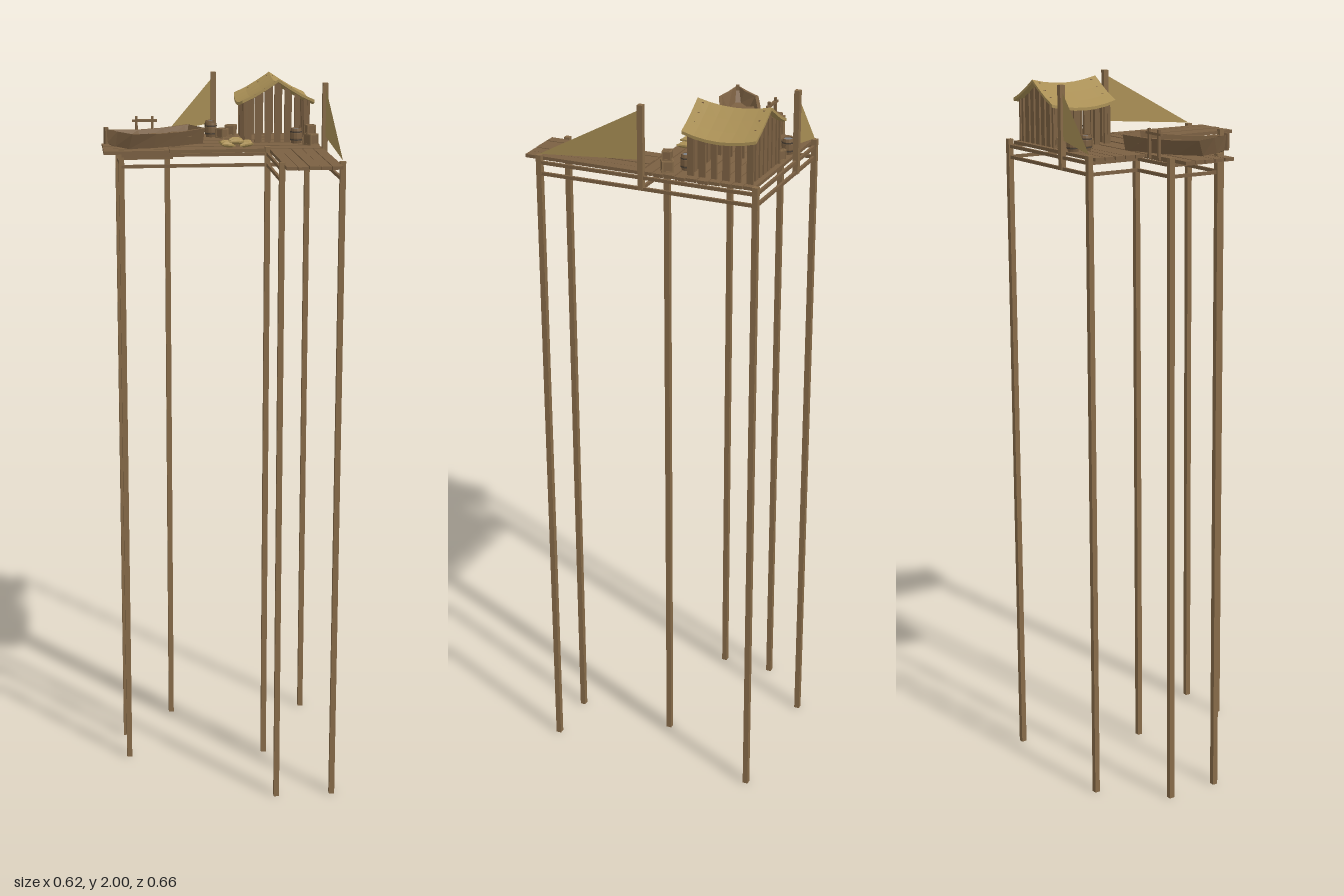
import * as THREE from 'three';

const mat = (color, side = THREE.FrontSide) => new THREE.MeshStandardMaterial({ color, flatShading: true, side });
const wood = mat(0x7b6042), timber = mat(0x866a48), dark = mat(0x4a3f33);
const straw = mat(0xa98f55), cloth = mat(0xa98f55, THREE.DoubleSide), grey = mat(0x7d8084);
const DECK = 1.823;

let seed = 7;
const rnd = (a, b) => {
  seed = (seed * 16807) % 2147483647;
  return a + (b - a) * (seed / 2147483647);
};

export function createModel() {
  const root = new THREE.Group();
  const group = (name, parent = root) => {
    const g = new THREE.Group();
    g.name = name;
    parent.add(g);
    return g;
  };
  const add = (parent, name, geo, material, x = 0, y = 0, z = 0, ry = 0) => {
    const m = new THREE.Mesh(geo, material);
    m.name = name;
    m.position.set(x, y, z);
    m.rotation.y = ry;
    parent.add(m);
    return m;
  };
  const box = (parent, name, w, h, d, x, y, z, ry = 0, material = wood) =>
    add(parent, name, new THREE.BoxGeometry(w, h, d), material, x, y, z, ry);

  // Long legs, and two short masts that only hang below the deck
  const posts = group('posts');
  const post = (name, x, z, y0, y1) => box(posts, name, 0.015, y1 - y0, 0.015, x, (y0 + y1) / 2, z, 0, timber);
  for (const [x, z] of [[-0.263, -0.17], [-0.263, -0.018], [-0.111, -0.325], [0.141, -0.008],
    [0.301, -0.325], [0.14, 0.285], [0.301, 0.285]]) post('leg', x, z, 0, 1.828);
  post('mast', 0.024, -0.325, 1.775, 2);
  post('mast', 0.3, -0.008, 1.775, 2);

  // Two levels of beams between the legs
  const beams = group('beams');
  const beam = (x0, z0, x1, z1) => {
    for (const y of [1.778, 1.808])
      box(beams, 'beam', Math.hypot(x1 - x0, z1 - z0), 0.009, 0.007,
        (x0 + x1) / 2, y, (z0 + z1) / 2, Math.atan2(z0 - z1, x1 - x0));
  };
  beam(-0.111, -0.325, 0.301, -0.325);
  beam(0.301, -0.325, 0.303, 0.285);
  beam(-0.263, -0.17, -0.111, -0.172);
  beam(-0.263, -0.17, -0.263, -0.018);
  beam(-0.263, -0.012, 0.141, -0.008);
  beam(0.141, -0.008, 0.301, -0.008);
  beam(0.141, -0.008, 0.14, 0.285);
  beam(-0.111, -0.325, -0.111, -0.17);

  // Planked decks with slightly uneven boards
  const deck = group('deck');
  const plank = (w, d, x, z) =>
    box(deck, 'plank', w, 0.009, d, x, DECK - 0.0055 + rnd(-0.001, 0.001), z, rnd(-0.004, 0.004));
  for (let i = 0; i < 10; i++) {
    const z = -0.302 + i * 0.0313;
    plank(0.425 + rnd(-0.004, 0.004), 0.0285, 0.083, z);
    if (i > 4) plank(0.18, 0.0285, -0.22 + rnd(-0.002, 0.002), z + 0.004);
  }
  for (let i = 0; i < 5; i++) plank(0.0285, 0.33 + rnd(-0.003, 0.003), 0.16 + i * 0.0303, 0.165);

  // Hut: slatted walls under a sagging straw roof
  const hut = group('hut');
  const RX = 0.185, RZ = -0.216;
  const roofY = (x, z) => {
    const t = Math.min(1, Math.abs(x - RX) / 0.105), s = Math.min(1, Math.abs(z - RZ) / 0.102);
    return 1.938 + 0.058 * Math.pow(1 - t, 1.2) - 0.014 * (1 - s * s);
  };
  const slat = (x, z, w, d) => {
    const h = roofY(x, z) - DECK;
    box(hut, 'wallSlat', w, h, d, x, DECK + h / 2, z, rnd(-0.05, 0.05));
  };
  for (let i = 0; i < 7; i++)
    for (const z of [-0.3, -0.132]) slat(0.102 + i * 0.0277, z, rnd(0.015, 0.02), 0.006);
  for (let i = 0; i < 6; i++)
    for (const x of [0.097, 0.273]) slat(x, -0.298 + i * 0.0328, 0.006, rnd(0.015, 0.02));
  const roofGeo = new THREE.BoxGeometry(0.21, 0.008, 0.203, 6, 1, 6);
  const rp = roofGeo.attributes.position;
  for (let i = 0; i < rp.count; i++) {
    const z = rp.getZ(i), s = Math.abs(z) / 0.1015;
    const x = rp.getX(i);
    rp.setXYZ(i, x * (1.02 - 0.05 * s * s), rp.getY(i) + roofY(x + RX, z + RZ), z);
  }
  add(hut, 'roof', roofGeo, straw, RX, 0, RZ);

  // Triangular cloths tied from each mast to the next leg
  const sail = (points) => {
    const g = new THREE.BufferGeometry().setFromPoints(points.map((p) => new THREE.Vector3(...p)));
    g.computeVertexNormals();
    add(root, 'sailCloth', g, cloth);
  };
  sail([[0.301, 1.988, -0.008], [0.301, 1.855, -0.008], [0.301, 1.83, 0.285]]);
  sail([[0.024, 1.988, -0.325], [0.024, 1.855, -0.325], [-0.111, 1.83, -0.325]]);

  // Boat: stations along the keel, each a ring around outer and inner hull
  const boat = group('boat');
  boat.position.set(-0.044, DECK, -0.145);
  boat.rotation.y = Math.PI + 0.447;
  // [x, half width at rim, half width at bottom, bottom height, rim height]
  const stations = [[0, 0.05, 0.036, 0.002, 0.046], [0.012, 0.051, 0.037, 0.002, 0.045],
    [0.08, 0.054, 0.04, 0.001, 0.041], [0.16, 0.056, 0.041, 0.001, 0.041],
    [0.236, 0.055, 0.034, 0.003, 0.046], [0.266, 0.026, 0.013, 0.01, 0.052], [0.288, 0.006, 0.003, 0.02, 0.058]];
  const pos = [], idx = [];
  stations.forEach(([x, t, b, y0, y1], i) => {
    const solid = i === 0 || i === 6, k = Math.min(0.009, t * 0.4);
    const fy = solid ? y1 - 0.001 : y0 + 0.008, fw = solid ? t - k : Math.max(b - 0.005, 0.002);
    for (const [z, y] of [[t, y1], [b, y0], [-b, y0], [-t, y1], [k - t, y1], [-fw, fy], [fw, fy], [t - k, y1]])
      pos.push(x, y, z);
    if (i) for (let j = 0; j < 8; j++) {
      const a = (i - 1) * 8 + j, c = (i - 1) * 8 + (j + 1) % 8;
      idx.push(a, c, a + 8, c, c + 8, a + 8);
    }
  });
  for (let j = 1; j < 7; j++) idx.push(0, j + 1, j, 48, 48 + j, 49 + j);
  const hull = new THREE.BufferGeometry();
  hull.setAttribute('position', new THREE.Float32BufferAttribute(pos, 3));
  hull.setIndex(idx);
  hull.computeVertexNormals();
  add(boat, 'hull', hull, mat(0x7b6042, THREE.DoubleSide));
  for (const x of [0.055, 0.12, 0.185]) box(boat, 'bench', 0.022, 0.005, 0.094, x, 0.027, 0);
  for (const x of [0.035, 0.09, 0.15, 0.215]) box(boat, 'rib', 0.006, 0.006, 0.074, x, 0.011, 0);
  box(boat, 'stem', 0.01, 0.045, 0.01, 0.288, 0.04, 0);

  // Low mooring rail beside the boat
  const rail = group('mooringRail');
  for (const x of [-0.21, -0.165]) box(rail, 'railPost', 0.007, 0.08, 0.007, x, 1.855, -0.171);
  box(rail, 'railBar', 0.07, 0.007, 0.008, -0.187, 1.883, -0.171);

  // Barrels with hoops and grey lids
  for (const [x, z] of [[0.013, -0.297], [0.01, -0.259], [0.235, -0.107]]) {
    const g = group('barrel');
    g.position.set(x, DECK, z);
    const outline = [[0, 0], [0.0135, 0], [0.017, 0.014], [0.017, 0.028], [0.0145, 0.042], [0.0125, 0.042], [0.0125, 0.038]];
    add(g, 'staves', new THREE.LatheGeometry(outline.map((p) => new THREE.Vector2(...p)), 12), wood);
    add(g, 'lid', new THREE.CylinderGeometry(0.0128, 0.0128, 0.003, 12), grey, 0, 0.038, 0);
    for (const y of [0.01, 0.032])
      add(g, 'hoop', new THREE.CylinderGeometry(0.0173, 0.0173, 0.004, 12, 1, true), dark, 0, y, 0);
  }

  // Framed crates
  const crate = (x, y, z, s, ry) => {
    const g = group('crate');
    g.position.set(x, DECK + y + s / 2, z);
    g.rotation.y = ry;
    box(g, 'crateBody', s * 0.9, s * 0.9, s * 0.9, 0, 0, 0);
    const e = s * 0.44, b = s * 0.12;
    for (const p of [-e, e]) for (const q of [-e, e]) {
      box(g, 'crateEdge', s, b, b, 0, p, q, 0, timber);
      box(g, 'crateEdge', b, s, b, p, 0, q, 0, timber);
      box(g, 'crateEdge', b, b, s, p, q, 0, 0, timber);
    }
  };
  crate(0.039, 0, -0.235, 0.027, 0.75);
  crate(0.071, 0, -0.293, 0.029, -0.4);
  crate(0.27, 0, -0.067, 0.031, 0.6);
  crate(0.268, 0.031, -0.067, 0.025, 0.25);

  // Two rows of overlapping sacks
  const sackGeo = new THREE.BoxGeometry(0.038, 0.016, 0.027, 4, 2, 4);
  const sp = sackGeo.attributes.position;
  for (let i = 0; i < sp.count; i++) {
    const u = Math.abs(sp.getX(i)) / 0.019, v = Math.abs(sp.getZ(i)) / 0.0135;
    sp.setXYZ(i, sp.getX(i) * (0.88 + 0.12 * v * v), sp.getY(i) * (1 - 0.75 * Math.max(u, v) ** 3),
      sp.getZ(i) * (0.82 + 0.18 * u * u));
  }
  for (const z of [-0.062, -0.031])
    for (let i = 0; i < 3; i++) {
      const m = add(root, 'sack', sackGeo, straw, 0.032 + i * 0.026, DECK + 0.009 + (i === 1 ? 0.008 : 0), z, rnd(-0.2, 0.2));
      m.rotation.z = (i - 1) * 0.15;
    }
  return root;
}
